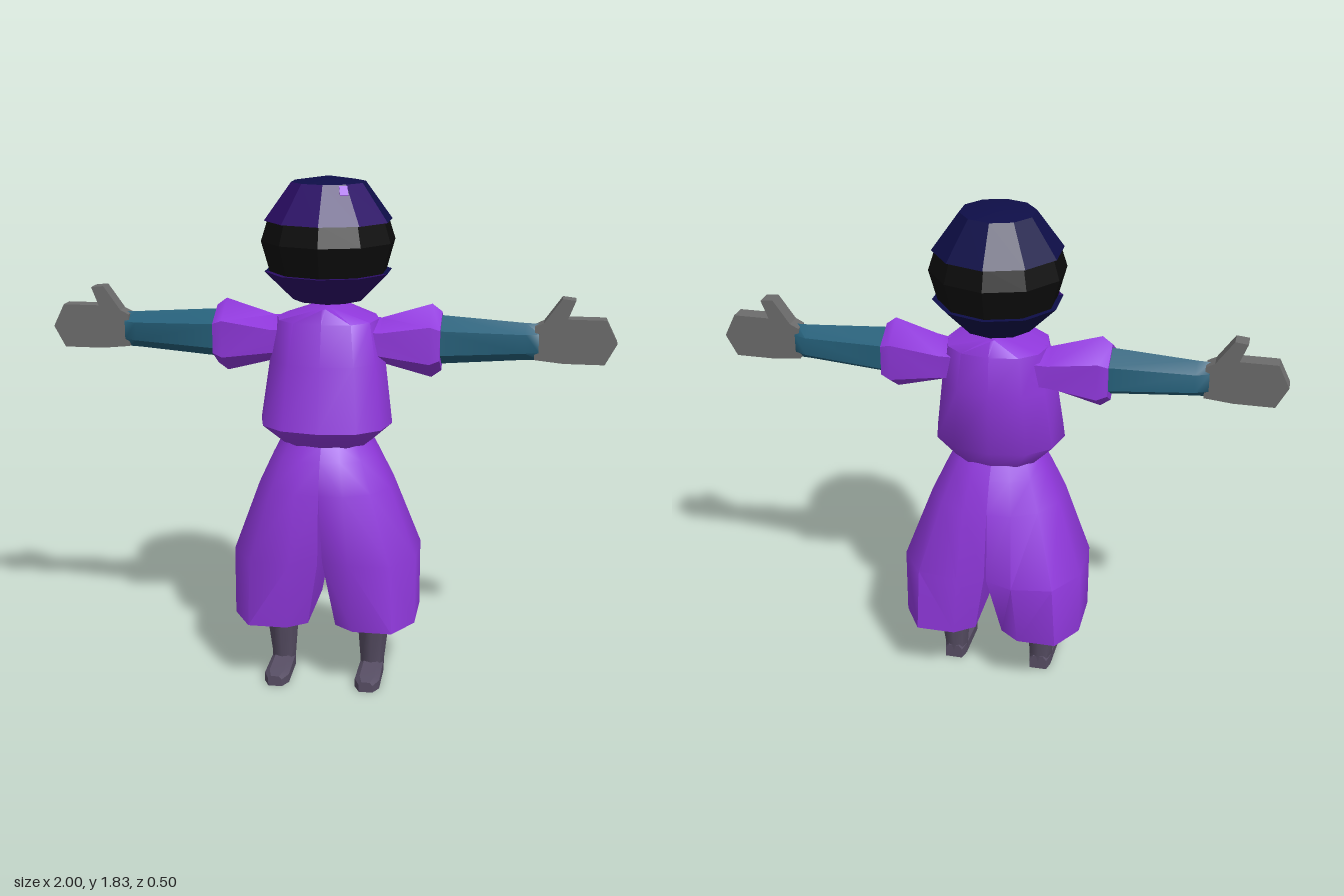
import * as THREE from 'three';
import { toCreasedNormals } from 'three/addons/utils/BufferGeometryUtils.js';

const paint = (name, color) => Object.assign(new THREE.MeshStandardMaterial({ color }), { name });

// Skin a list of closed rings, cap both ends and make the faces point outward.
function loft(rings, crease = 0.9) {
  const n = rings[0].length;
  const pos = rings.flat();
  const tris = [];
  for (let r = 0; r < rings.length - 1; r++) {
    for (let i = 0; i < n; i++) {
      const a = r * n + i, b = r * n + (i + 1) % n;
      tris.push([a, b, b + n], [a, b + n, a + n]);
    }
  }
  [0, rings.length - 1].forEach((r, end) => {
    const centre = [0, 1, 2].map(k => rings[r].reduce((s, p) => s + p[k], 0) / n);
    const c = pos.push(centre) - 1;
    for (let i = 0; i < n; i++) {
      const a = r * n + i, b = r * n + (i + 1) % n;
      tris.push(end ? [a, b, c] : [b, a, c]);
    }
  });
  const v = pos.map(p => new THREE.Vector3(...p));
  let volume = 0;
  for (const [a, b, c] of tris) volume += v[a].dot(v[b].clone().cross(v[c]));
  if (volume < 0) tris.forEach(t => t.reverse());
  const g = new THREE.BufferGeometry();
  g.setAttribute('position', new THREE.Float32BufferAttribute(pos.flat(), 3));
  g.setIndex(tris.flat());
  return toCreasedNormals(g, crease);
}

// Rounded ring lying level at height y
function levelRing(y, cx, rx, zFront, zBack, n = 12, power = 0.85) {
  const soft = t => Math.sign(t) * Math.pow(Math.abs(t), power);
  return Array.from({ length: n }, (_, i) => {
    const a = (i / n) * Math.PI * 2;
    return [cx + rx * soft(Math.sin(a)), y,
      (zFront + zBack) / 2 + (zFront - zBack) / 2 * soft(Math.cos(a))];
  });
}

// Six-sided ring standing across the x axis
function armRing(x, low, high, halfDepth) {
  return Array.from({ length: 6 }, (_, i) => {
    const a = (i / 6) * Math.PI * 2;
    return [x, (low + high) / 2 + (high - low) / 2 * Math.cos(a), halfDepth / 0.866 * Math.sin(a)];
  });
}

// Trouser leg outlines: half circle at the waist, rounded box at the hem
const waistShape = [[0, 1], [0.38, 0.95], [0.75, 0.72], [1, 0.3], [1, -0.3], [0.75, -0.72], [0.38, -0.95], [0, -1]];
const hemShape = [[0, 0.75], [0.25, 1], [0.75, 1], [1, 0.45], [1, -0.45], [0.75, -1], [0.25, -1], [0, -0.75]];
function trouserRing(side, y, inner, outer, front, back, blend) {
  return waistShape.map((w, i) => {
    const u = w[0] + (hemShape[i][0] - w[0]) * blend;
    const v = w[1] + (hemShape[i][1] - w[1]) * blend;
    return [side * (inner + (outer - inner) * u), y, (front + back) / 2 + (front - back) / 2 * v];
  });
}

export function createModel() {
  const model = new THREE.Group();
  const purple = paint('purple cloth', 0x9038dc);
  const violet = paint('dark violet', 0x2b0d66);
  const navy = paint('navy', 0x0e0e48);
  const black = paint('black', 0x0c0c0c);
  const teal = paint('teal', 0x25607a);
  const grey = paint('grey glove', 0x6c6c6c);
  const boot = paint('grey violet', 0x574e64);
  const add = (name, geometry, material) => {
    const mesh = new THREE.Mesh(geometry, material);
    mesh.name = name;
    model.add(mesh);
    return mesh;
  };

  // Ten-sided helmet with a violet front and navy back
  const step = Math.PI / 5;
  const shell = (name, profile, material, first, count) => add(name, toCreasedNormals(
    new THREE.LatheGeometry(profile.map(p => new THREE.Vector2(...p)), count, first * step, count * step), 0.4), material);
  const upper = [[0.19, 1.68], [0.225, 1.68], [0.13, 1.81]];
  const lower = [[0, 1.38], [0.125, 1.405], [0.225, 1.505], [0.19, 1.505]];
  for (const [part, profile] of [['helmetTop', upper], ['helmetJaw', lower]]) {
    shell(part + 'Front', profile, violet, -2, 4);
    shell(part + 'Back', profile, navy, 2, 6);
  }
  shell('helmetCrown', [[0.13, 1.81], [0, 1.83]], navy, 0, 10);
  shell('visorBand', [[0.205, 1.5], [0.236, 1.61], [0.212, 1.685]], black, 0, 10);

  // Small light mark on the helmet
  const mark = add('helmetMark', new THREE.BoxGeometry(0.028, 0.035, 0.008), purple);
  mark.position.set(0.07, 1.79, 0.122);
  mark.rotation.set(-0.606, 0.314, 0, 'YXZ');

  // Blouse with a ridged shoulder line
  add('blouse', loft([
    levelRing(0.905, 0, 0.16, 0.17, -0.11),
    levelRing(0.975, 0, 0.235, 0.245, -0.15),
    levelRing(1.2, 0, 0.205, 0.2, -0.157),
    levelRing(1.34, 0, 0.18, 0.165, -0.145),
    levelRing(1.39, 0, 0.02, 0.15, -0.12),
  ]), purple);

  const glove = new THREE.Shape([
    [0.72, 1.33], [0.75, 1.345], [0.81, 1.43], [0.855, 1.425], [0.83, 1.36], [0.96, 1.36],
    [1, 1.28], [0.96, 1.205], [0.82, 1.205], [0.72, 1.215],
  ].map(p => new THREE.Vector2(...p)));

  for (const side of [1, -1]) {
    const label = side > 0 ? 'left' : 'right';

    // Puffed sleeve, forearm and mitten
    add(label + 'Sleeve', loft([
      armRing(side * 0.1, 1.19, 1.35, 0.1),
      armRing(side * 0.19, 1.18, 1.342, 0.085),
      armRing(side * 0.365, 1.135, 1.396, 0.1),
      armRing(side * 0.4, 1.16, 1.37, 0.088),
    ]), purple);
    add(label + 'Arm', loft([
      armRing(side * 0.38, 1.183, 1.358, 0.077),
      armRing(side * 0.69, 1.208, 1.338, 0.05),
      armRing(side * 0.735, 1.21, 1.337, 0.032),
    ]), teal);
    const hand = add(label + 'Hand', new THREE.ExtrudeGeometry(glove, { depth: 0.06, bevelEnabled: false }), grey);
    hand.position.z = side * -0.03;
    if (side < 0) hand.rotation.y = Math.PI;

    // Wide trouser leg, a little fuller on the right
    const full = side > 0 ? 0.95 : 1.05;
    add(label + 'TrouserLeg', loft([
      trouserRing(side, 0.91, 0, 0.16, 0.17, -0.11, 0),
      trouserRing(side, 0.86, 0, 0.185, 0.2, -0.14, 0),
      trouserRing(side, 0.75, 0, 0.235, 0.24, -0.19, 0.1),
      trouserRing(side, 0.49, 0.007, 0.33, 0.24 * full, -0.245 * full, 0.6),
      trouserRing(side, 0.24, 0.05, 0.33, 0.215, -0.21, 1),
    ]), purple);

    // Shin and pointed shoe
    add(label + 'Shin', loft([
      levelRing(0.02, side * 0.167, 0.043, 0.06, -0.04, 8),
      levelRing(0.06, side * 0.167, 0.045, 0.065, -0.043, 8),
      levelRing(0.3, side * 0.172, 0.068, 0.12, -0.09, 8),
    ]), boot);
    const shoeRing = (z, half, top) => [[-half, 0], [half, 0], [half, top * 0.7], [half * 0.6, top],
      [-half * 0.6, top], [-half, top * 0.7]].map(([x, y]) => [side * 0.167 + x, y, z]);
    add(label + 'Shoe', loft([
      shoeRing(-0.04, 0.032, 0.055), shoeRing(0, 0.042, 0.06), shoeRing(0.06, 0.043, 0.055),
      shoeRing(0.16, 0.045, 0.045), shoeRing(0.2, 0.025, 0.038),
    ], 0.6), boot);
  }
  return model;
}
